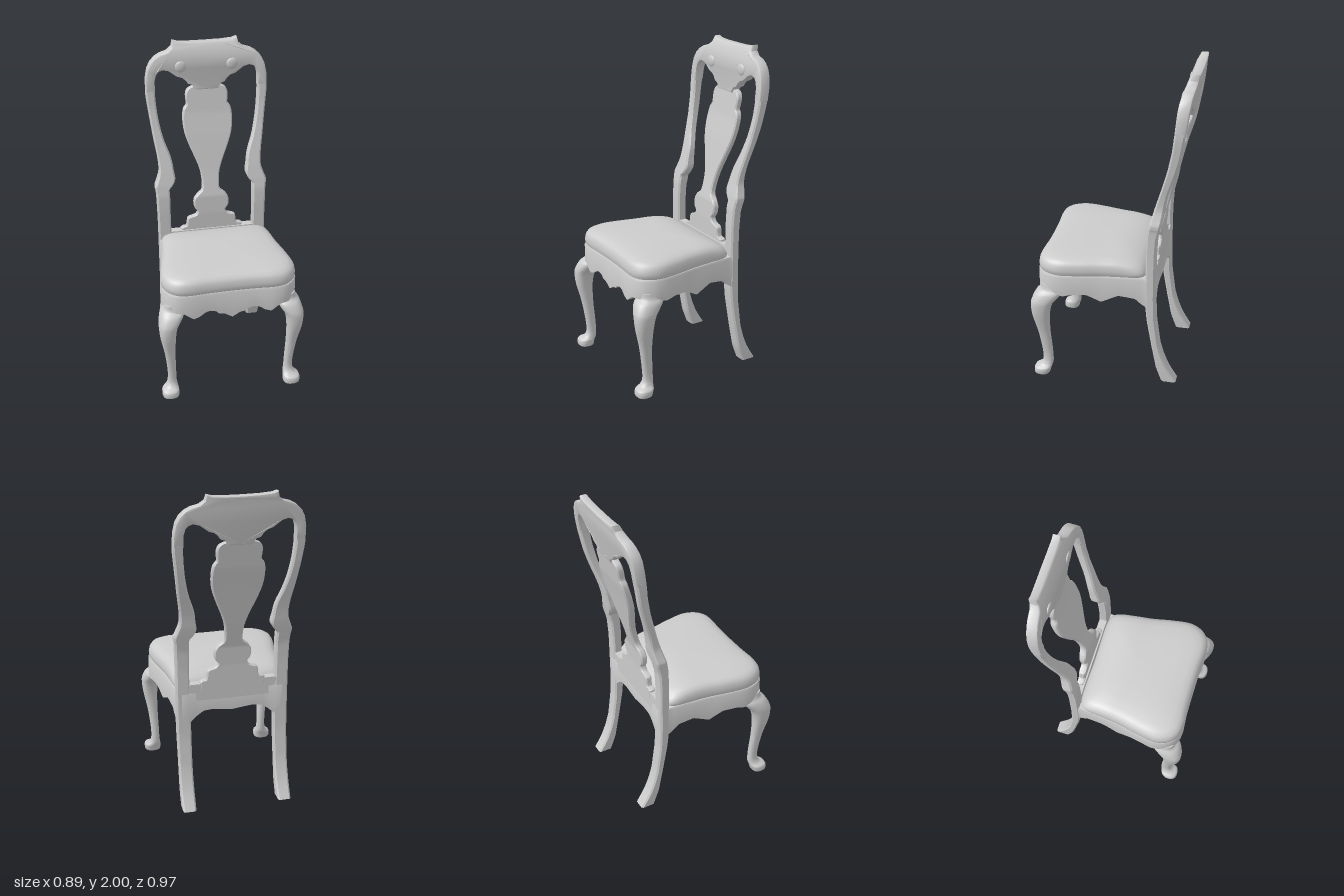
import * as THREE from 'three';
import { toCreasedNormals } from 'three/addons/utils/BufferGeometryUtils.js';

const material = new THREE.MeshStandardMaterial({ color: 0xcccccc });

// Piecewise-linear lookup in a table of [key, value] sorted by key
function lookup(table, k) {
  if (k <= table[0][0]) return table[0][1];
  for (let i = 1; i < table.length; i++) {
    const [a, va] = table[i - 1], [b, vb] = table[i];
    if (k <= b) return va + (vb - va) * (k - a) / (b - a);
  }
  return table[table.length - 1][1];
}

// Smoothly subdivide rows of numbers
function smoothRows(rows, n) {
  const out = [];
  for (let i = 0; i < rows.length - 1; i++) {
    const p = [rows[Math.max(i - 1, 0)], rows[i], rows[i + 1], rows[Math.min(i + 2, rows.length - 1)]];
    for (let s = 0; s < n; s++) {
      const t = s / n;
      out.push(p[1].map((v, c) => {
        const m0 = (p[2][c] - p[0][c]) / 2, m1 = (p[3][c] - v) / 2, d = p[2][c] - v;
        return v + t * (m0 + t * (3 * d - 2 * m0 - m1 + t * (m0 + m1 - 2 * d)));
      }));
    }
  }
  out.push(rows[rows.length - 1]);
  return out;
}

// Skin closed cross-sections; either join the ends or cap them
function loft(sections, joined = false, crease = 0.6) {
  const m = sections[0].length, n = sections.length;
  const pos = sections.flat(2), idx = [];
  for (let i = 0; i < (joined ? n : n - 1); i++) for (let j = 0; j < m; j++) {
    const k = (i + 1) % n, l = (j + 1) % m;
    const a = i * m + j, b = i * m + l, c = k * m + l, d = k * m + j;
    idx.push(a, b, c, a, c, d);
  }
  if (!joined) for (const i of [0, n - 1]) {
    const c = pos.length / 3;
    pos.push(...[0, 1, 2].map(q => sections[i].reduce((s, p) => s + p[q], 0) / m));
    for (let j = 0; j < m; j++) {
      const a = i * m + j, b = i * m + (j + 1) % m;
      idx.push(...(i ? [c, a, b] : [c, b, a]));
    }
  }
  // Turn the skin outward if its signed volume is negative
  const v = i => new THREE.Vector3().fromArray(pos, i * 3);
  let volume = 0;
  for (let i = 0; i < idx.length; i += 3) volume += v(idx[i]).dot(v(idx[i + 1]).cross(v(idx[i + 2])));
  if (volume < 0) idx.reverse();
  const g = new THREE.BufferGeometry();
  g.setAttribute('position', new THREE.Float32BufferAttribute(pos, 3));
  g.setIndex(idx);
  return toCreasedNormals(g, crease);
}

// Front and back faces of the chair back, as depth by height
const frontZ = [[0, -.33], [.095, -.296], [.255, -.265], [.44, -.233], [.55, -.222], [.95, -.222], [1.05, -.228],
  [1.12, -.242], [1.21, -.265], [1.34, -.303], [1.475, -.34], [1.6, -.365], [1.72, -.378], [1.86, -.39], [1.93, -.405], [2, -.435]];
const backZ = [[0, -.423], [.04, -.397], [.095, -.365], [.17, -.335], [.25, -.312], [.44, -.286], [.6, -.28], [.9, -.28],
  [1.02, -.287], [1.18, -.328], [1.4, -.376], [1.55, -.413], [1.74, -.445], [1.87, -.46], [2, -.482]];

// Chamfered rectangle at height y
function bar(y, x0, x1, z0, z1, c = .01) {
  return [[x0 + c, z0], [x1 - c, z0], [x1, z0 + c], [x1, z1 - c], [x1 - c, z1], [x0 + c, z1], [x0, z1 - c], [x0, z0 + c]]
    .map(([x, z]) => [x, y, z]);
}

// Right-hand half outline (front centre to back centre), sampled and mirrored
function plan(points, n) {
  const half = new THREE.CatmullRomCurve3(points.map(([x, z]) => new THREE.Vector3(x, 0, z)), false, 'centripetal')
    .getSpacedPoints(n).map(p => [p.x, p.z]);
  return [...half, ...half.slice(1, -1).reverse().map(([x, z]) => [-x, z])];
}

function stileGeometry() {
  // height, inner x, outer x
  const rows = [[0, .262, .343], [.1, .26, .345], [.3, .26, .345], [.55, .26, .347], [.85, .267, .348], [1.05, .267, .352],
    [1.09, .267, .357], [1.115, .247, .357], [1.155, .228, .342], [1.21, .234, .327], [1.29, .246, .331],
    [1.4, .283, .347], [1.53, .31, .363], [1.66, .322, .378], [1.715, .322, .379]];
  return loft(smoothRows(rows, 5).map(([y, a, b]) => {
    const slim = .014 * Math.exp(-(((y - 1.28) / .13) ** 2));
    return bar(y, a, b, lookup(backZ, y) + slim, lookup(frontZ, y));
  }));
}

function splatGeometry() {
  // height, half width
  const rows = [[.74, .2], [.8, .2], [.812, .165], [.855, .158], [.872, .15], [.885, .108], [.915, .09], [.945, .11],
    [.995, .112], [1.03, .09], [1.065, .056], [1.155, .058], [1.235, .08], [1.34, .122], [1.42, .148], [1.5, .157],
    [1.57, .15], [1.6, .13], [1.63, .132], [1.67, .132], [1.7, .115], [1.72, .072], [1.75, .07]];
  return loft(smoothRows(rows, 3).map(([y, w]) => {
    const back = lookup(backZ, y);
    return bar(y, -w, w, back + .002, back + .043, .008);
  }));
}

function crestGeometry() {
  const half = [[0, 1.984], [.1, 1.985], [.17, 1.99], [.2, 2], [.208, 1.965], [.235, 1.942], [.283, 1.928], [.315, 1.91],
    [.345, 1.88], [.365, 1.84], [.377, 1.78], [.379, 1.7], [.322, 1.7], [.322, 1.77], [.311, 1.808], [.295, 1.826],
    [.27, 1.834], [.235, 1.825], [.205, 1.803], [.185, 1.787], [.15, 1.775], [.128, 1.755], [.115, 1.735], [.09, 1.727],
    [.078, 1.71], [.072, 1.695], [0, 1.695]];
  const outline = [...half, ...half.slice(1, -1).reverse().map(([x, y]) => [-x, y])];
  const shape = new THREE.Shape(outline.map(([x, y]) => new THREE.Vector2(x, y)));
  const g = new THREE.ExtrudeGeometry(shape, {
    depth: .7, steps: 1, bevelThickness: .15, bevelSize: .01, bevelOffset: -.01, bevelSegments: 2 });
  const p = g.attributes.position;
  for (let i = 0; i < p.count; i++) {
    const y = p.getY(i), t = p.getZ(i) + .15, x = p.getX(i);
    const bow = .008 * Math.max(0, 1 - (x / .3) ** 2);
    p.setZ(i, THREE.MathUtils.lerp(lookup(backZ, y), lookup(frontZ, y), t) - bow);
  }
  return toCreasedNormals(g, .6);
}

function railGeometry() {
  const ring = plan([[0, .44], [.14, .443], [.27, .45], [.33, .44], [.375, .41], [.405, .36], [.415, .3], [.4, .18],
    [.375, .05], [.358, -.08], [.345, -.2], [.335, -.272], [.2, -.275], [0, -.275]], 120);
  // Scalloped lower edges, by x across the front and by z along the sides
  const acrossEdge = [[0, .557], [.03, .575], [.05, .588], [.085, .592], [.1, .612], [.14, .62], [.17, .61],
    [.2, .588], [.24, .575], [.27, .6], [.3, .62]];
  const backEdge = [[0, .6], [.12, .615], [.18, .61], [.23, .575], [.26, .545]];
  const sideEdge = [[-.225, .545], [-.19, .57], [-.16, .6], [-.06, .615], [-.02, .597], [.045, .567], [.1, .597],
    [.135, .615], [.22, .615], [.28, .6], [.33, .62]];
  const n = ring.length;
  return loft(ring.map(([x, z], i) => {
    const [ax, az] = ring[(i + n - 1) % n], [bx, bz] = ring[(i + 1) % n];
    const len = Math.hypot(bx - ax, bz - az), nx = (bz - az) / len, nz = -(bx - ax) / len;
    const low = z > .4 ? lookup(acrossEdge, Math.abs(x)) : z < -.26 ? lookup(backEdge, Math.abs(x)) : lookup(sideEdge, z);
    const at = (d, y) => [x + nx * d, y, z + nz * d];
    return [at(0, low), at(0, .73), at(.006, .742), at(.045, .742), at(.045, low)];
  }), true);
}

function cushionGeometry() {
  const ring = plan([[0, .437], [.14, .44], [.265, .447], [.325, .437], [.37, .407], [.4, .357], [.411, .3], [.395, .18],
    [.368, .05], [.352, -.08], [.343, -.16], [.327, -.2], [.285, -.22], [0, -.222]], 60);
  // scale, height
  const rows = [[.9, .68], [.98, .69], [.98, .738], [1, .75], [1.003, .775], [.99, .803], [.96, .823], [.9, .836],
    [.8, .844], [.6, .85], [.35, .853], [.1, .854]];
  return loft(rows.map(([s, h]) => ring.map(([x, z]) => {
    const pz = .08 + (z - .08) * s;
    const slope = Math.max(0, Math.min(1, (h - .75) / .06));
    return [x * s, h - .85 * slope * Math.min(0, pz) ** 2, pz];
  })), false, .9);
}

function frontLegGeometry() {
  // height, inner x, outer x, back z, front z
  const rows = [[.66, .31, .4, .31, .42], [.625, .29, .412, .285, .425], [.6, .285, .43, .285, .455], [.56, .31, .443, .32, .475],
    [.52, .335, .447, .35, .482], [.44, .347, .44, .368, .475], [.31, .35, .415, .371, .446], [.175, .347, .4, .363, .427],
    [.1, .345, .4, .36, .423], [.065, .34, .412, .362, .44], [.045, .335, .438, .368, .474],
    [.02, .335, .441, .376, .479], [.005, .337, .438, .38, .477], [0, .345, .43, .387, .468]];
  const power = v => Math.sign(v) * Math.abs(v) ** .8;
  return loft(smoothRows(rows, 4).map(([y, x0, x1, z0, z1]) => Array.from({ length: 24 }, (_, i) => {
    const a = i / 24 * Math.PI * 2;
    return [(x0 + x1) / 2 + power(Math.cos(a)) * (x1 - x0) / 2, Math.max(0, y), (z0 + z1) / 2 + power(Math.sin(a)) * (z1 - z0) / 2];
  })), false, .9);
}

export function createModel() {
  const chair = new THREE.Group();
  chair.name = 'chair';
  const add = (name, geometry) => {
    const mesh = new THREE.Mesh(geometry, material);
    mesh.name = name;
    chair.add(mesh);
    return mesh;
  };
  // Mirrored copy: flip x and the corner order
  const mirror = g => {
    const m = g.clone().scale(-1, 1, 1);
    for (const a of Object.values(m.attributes)) for (let i = 0; i < a.count; i += 3) for (let c = 0; c < a.itemSize; c++) {
      const t = a.getComponent(i, c);
      a.setComponent(i, c, a.getComponent(i + 1, c));
      a.setComponent(i + 1, c, t);
    }
    return m;
  };
  const pair = (name, g) => { add(name + 'Left', g); add(name + 'Right', mirror(g)); };

  pair('backLegAndStile', stileGeometry());
  pair('frontLeg', frontLegGeometry());
  add('crestRail', crestGeometry());
  add('backSplat', splatGeometry());
  add('seatRail', railGeometry());
  add('seatCushion', cushionGeometry());
  add('backRail', loft([bar(.68, -.3, .3, -.276, -.228), bar(.79, -.3, .3, -.276, -.228)]));

  // Carved scrolls on the crest rail
  const scroll = new THREE.SphereGeometry(.036, 20, 12).scale(1, 1, .35).translate(.16, 1.85, -.394);
  pair('crestScroll', scroll.toNonIndexed());
  return chair;
}
